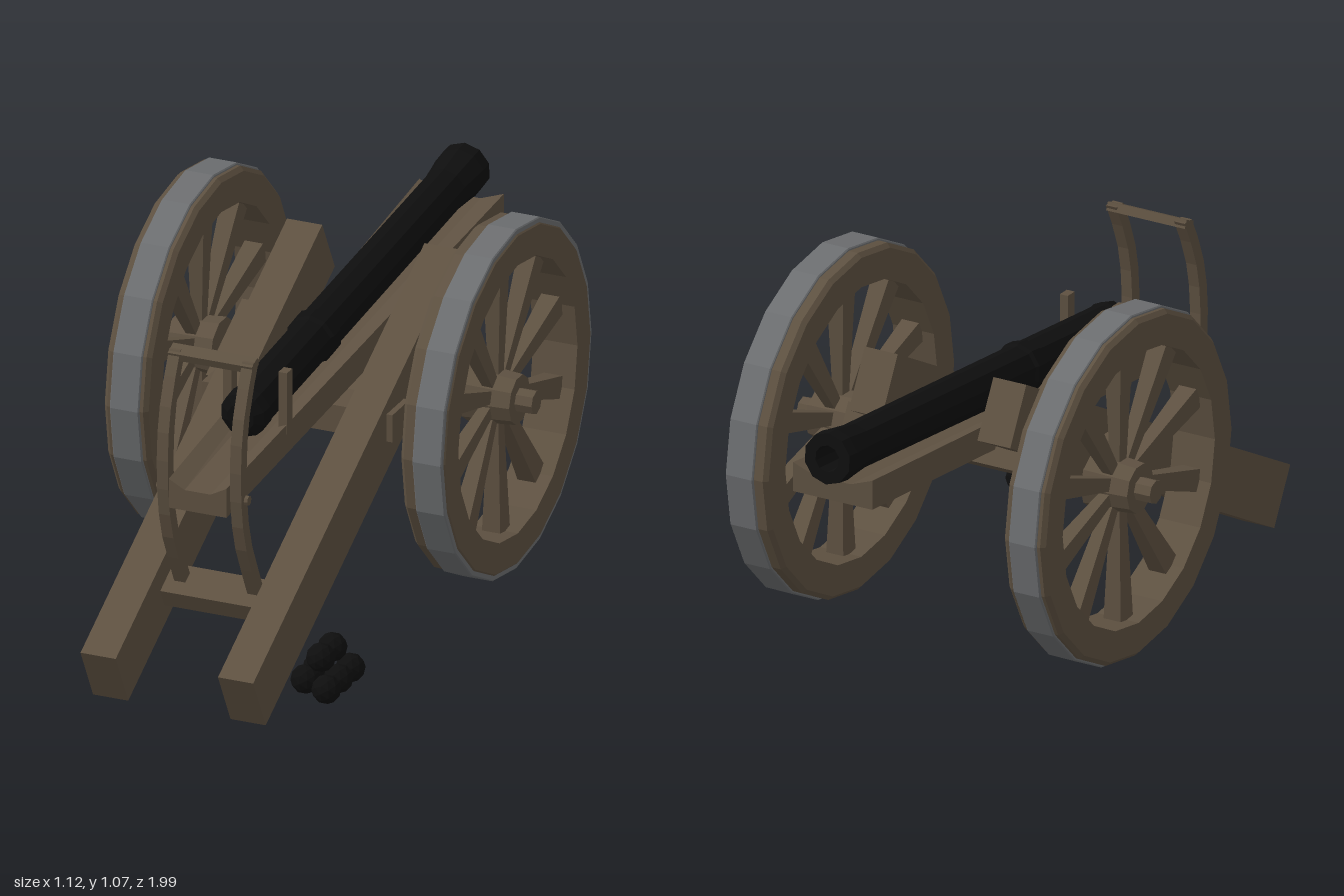
import * as THREE from 'three';

const mat = (name, color) => {
  const m = new THREE.MeshStandardMaterial({ color, flatShading: true });
  m.name = name;
  return m;
};

export function createModel() {
  const wood = mat('wood', 0x5e5141);
  const steel = mat('tyre steel', 0x6c6e70);
  const iron = mat('black iron', 0x0e0e0e);
  const root = new THREE.Group();
  root.name = 'fieldCannon';

  const add = (name, geo, material, x = 0, y = 0, z = 0, rx = 0, parent = root) => {
    const m = new THREE.Mesh(geo, material);
    m.name = name;
    m.position.set(x, y, z);
    m.rotation.x = rx;
    parent.add(m);
    return m;
  };
  const box = (name, w, h, d, x, y, z, rx) =>
    add(name, new THREE.BoxGeometry(w, h, d), wood, x, y, z, rx);
  const lathe = (pts, n) =>
    new THREE.LatheGeometry(pts.map(p => new THREE.Vector2(p[0], p[1])), n);

  const CX = -0.011;          // centre line of gun and carriage
  const TILT = 0.49;          // slope of the trail beams
  const WY = 0.572, WZ = -0.18; // wheel centre

  // Trail beams, cross pieces and axle bed
  box('rightTrail', 0.104, 0.177, 1.552, -0.212, 0.448, 0.272, TILT);
  box('leftTrail', 0.104, 0.177, 1.552, 0.194, 0.448, 0.272, TILT);
  box('axleBed', 0.71, 0.08, 0.273, -0.002, 0.575, -0.18, TILT);
  box('middleCrossbar', 0.563, 0.08, 0.115, -0.018, 0.56, 0.057, 0);
  box('rearCrossbar', 0.33, 0.06, 0.1, CX, 0.24, 0.645, TILT);

  // Gun bed: grooved section, wider toward the muzzle, rising with the barrel
  const section = new THREE.Shape([
    [-1, 0], [1, 0], [1, 0.085], [0.45, 0.06], [-0.45, 0.06], [-1, 0.085],
  ].map(p => new THREE.Vector2(p[0], p[1])));
  const bedGeo = new THREE.ExtrudeGeometry(section, { depth: 1.75, bevelEnabled: false, steps: 1 });
  const bp = bedGeo.attributes.position;
  for (let i = 0; i < bp.count; i++) {
    const z = bp.getZ(i) - 0.96, t = (0.79 - z) / 1.75;
    bp.setXYZ(i, bp.getX(i) * (0.085 + 0.04 * t), bp.getY(i) + 0.535 + 0.175 * t, z);
  }
  bedGeo.computeVertexNormals();
  add('gunBed', bedGeo, wood, CX);

  // Barrel with raised bands and a hollow muzzle
  add('barrel', lathe([
    [0, 0], [0.04, 0], [0.066, 0.015], [0.07, 0.05], [0.066, 0.07], [0.066, 0.46],
    [0.073, 0.47], [0.073, 0.51], [0.066, 0.52], [0.064, 1.36], [0.07, 1.42],
    [0.075, 1.46], [0.073, 1.5], [0.038, 1.5], [0.036, 1.38], [0, 1.38],
  ], 10), iron, CX, 0.7, 0.505, -Math.PI / 2 + 0.095);

  // Posts beside the breech
  for (const s of [-1, 1]) box('breechPost', 0.025, 0.18, 0.036, CX + s * 0.082, 0.72, 0.392, 0);

  // Curved elevating frame
  const curve = new THREE.SplineCurve([
    [0.68, 0.96], [0.735, 0.84], [0.76, 0.72], [0.76, 0.58], [0.735, 0.45], [0.68, 0.33], [0.64, 0.25],
  ].map(p => new THREE.Vector2(p[0], p[1])));
  const path = curve.getPoints(10);
  const strip = new THREE.Shape([
    ...path.map(p => new THREE.Vector2(p.x - 0.019, p.y)),
    ...path.slice().reverse().map(p => new THREE.Vector2(p.x + 0.019, p.y)),
  ]);
  const barGeo = new THREE.ExtrudeGeometry(strip, { depth: 0.033, bevelEnabled: false });
  barGeo.translate(0, 0, -0.0165);
  barGeo.rotateY(-Math.PI / 2);
  for (const s of [-1, 1]) add('frameSide', barGeo, wood, CX + s * 0.108);
  box('frameTop', 0.249, 0.025, 0.04, CX, 0.948, 0.686, 0.4);
  const pinGeo = new THREE.CylinderGeometry(0.014, 0.014, 0.27, 8).rotateZ(Math.PI / 2);
  add('framePin', pinGeo, wood, CX, 0.578, 0.75);

  // Axle
  const axleGeo = new THREE.CylinderGeometry(0.022, 0.022, 1.0, 8).rotateZ(Math.PI / 2);
  add('axle', axleGeo, wood, 0, WY, WZ);

  // Wheels: axis along local y, outer face toward +y
  const ring = (r0, r1, y0, y1, c) => lathe([
    [r0, y0], [r1 - c, y0], [r1, y0 + c], [r1, y1 - c], [r1 - c, y1], [r0, y1], [r0, y0],
  ], 20);
  const felloeGeo = ring(0.395, 0.493, -0.065, 0.065, 0.012);
  const tyreGeo = ring(0.485, 0.5, -0.043, 0.043, 0.003);
  const hubGeo = new THREE.CylinderGeometry(0.07, 0.082, 0.14, 10);
  const capGeo = new THREE.CylinderGeometry(0.034, 0.034, 0.09, 8);
  // Spokes flare toward the rim
  const spokeGeo = new THREE.CylinderGeometry(0.046, 0.025, 0.345, 4);
  spokeGeo.rotateY(Math.PI / 4);
  spokeGeo.scale(1, 1, 0.85);
  spokeGeo.translate(0, 0.235, 0);
  for (const s of [-1, 1]) {
    const wheel = new THREE.Group();
    wheel.name = s < 0 ? 'rightWheel' : 'leftWheel';
    wheel.position.set(s * 0.438, WY, WZ);
    wheel.rotation.z = -s * Math.PI / 2;
    root.add(wheel);
    add('felloe', felloeGeo, wood, 0, 0, 0, 0, wheel);
    add('tyre', tyreGeo, steel, 0, s > 0 ? 0.018 : 0, 0, 0, wheel);
    add('hub', hubGeo, wood, 0, 0, 0, 0, wheel);
    add('axleEnd', capGeo, wood, 0, 0.075, 0, 0, wheel);
    for (let i = 0; i < 10; i++) {
      const spin = new THREE.Group();
      spin.name = 'spoke';
      // start with a spoke pointing straight up
      spin.rotation.y = Math.PI / 2 + i * Math.PI / 5;
      wheel.add(spin);
      add('spokeBar', spokeGeo, wood, 0, 0, 0, Math.PI / 2, spin);
    }
  }

  // Pile of shot
  const ballGeo = new THREE.IcosahedronGeometry(0.041, 1);
  for (const [x, y, z] of [
    [0.385, 0.1, 0.665], [0.385, 0.1, 0.745], [0.385, 0.1, 0.825],
    [0.305, 0.1, 0.705], [0.305, 0.1, 0.785],
    [0.352, 0.173, 0.71], [0.352, 0.173, 0.787],
  ]) add('cannonBall', ballGeo, iron, x, y, z);

  return root;
}
